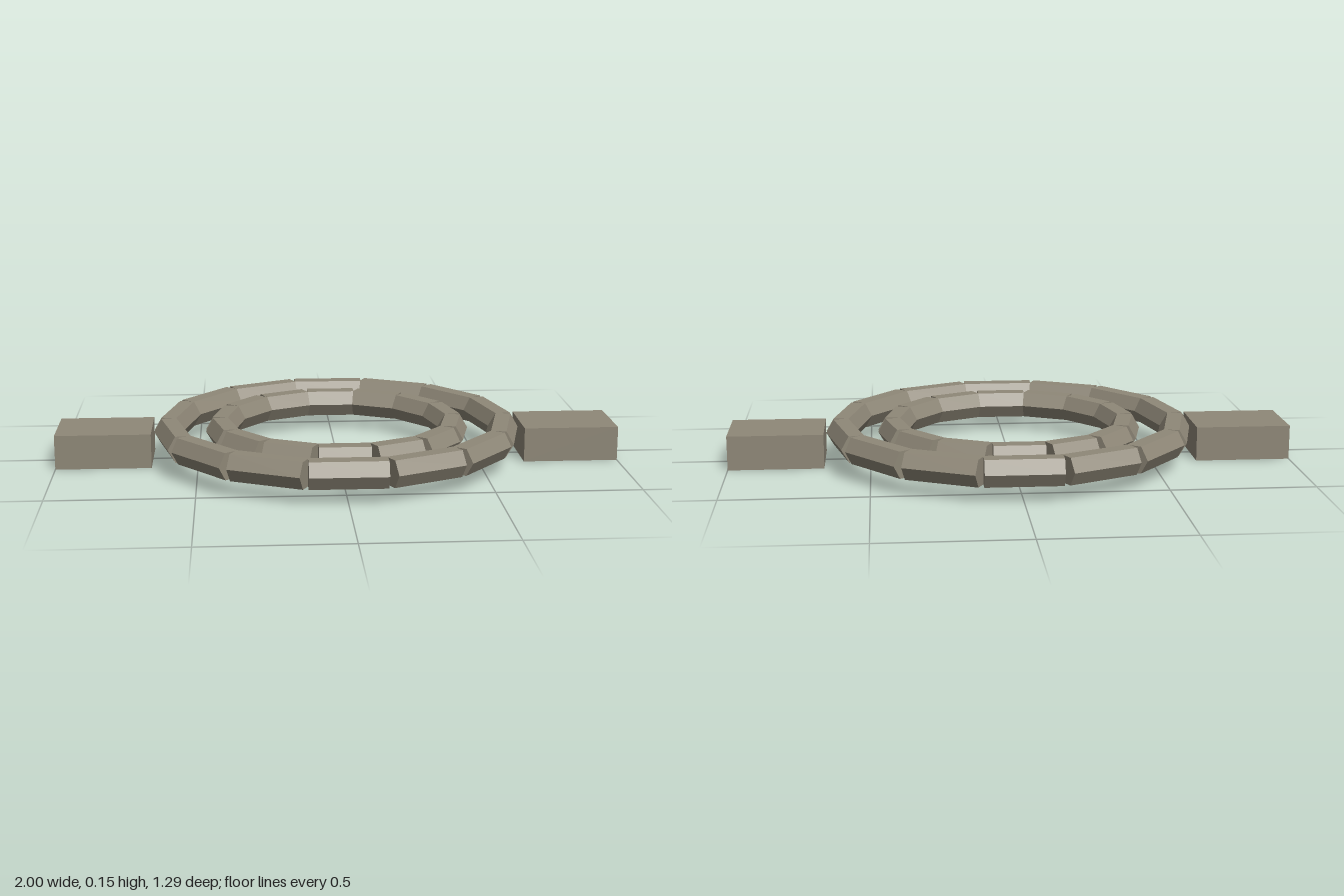
import * as THREE from 'three';

const SEGMENTS = 14;
const TUBE_RADIUS = 0.0537;
const RING_HEIGHT = 0.102;

// Closed ring of straight hexagonal bars laid tangentially around the y axis
function makeRing(name, radius, barLength, material) {
  const ring = new THREE.Group();
  ring.name = name;
  const bar = new THREE.CylinderGeometry(TUBE_RADIUS, TUBE_RADIUS, barLength, 6);
  bar.rotateZ(Math.PI / 2); // axis along x, flat faces up and down
  bar.translate(0, 0, radius);
  for (let i = 0; i < SEGMENTS; i++) {
    const mesh = new THREE.Mesh(bar, material);
    mesh.name = name + 'Bar';
    mesh.rotation.y = (i / SEGMENTS) * Math.PI * 2;
    ring.add(mesh);
  }
  ring.position.y = RING_HEIGHT;
  return ring;
}

export function createModel() {
  const model = new THREE.Group();
  model.name = 'ringedPlatform';

  const stone = new THREE.MeshStandardMaterial({ color: 0x8f8878, flatShading: true });
  stone.name = 'warm grey stone';

  // Two concentric rings
  model.add(makeRing('outerRing', 0.59, 0.262, stone));
  model.add(makeRing('innerRing', 0.41, 0.177, stone));

  // Block on each side
  const block = new THREE.BoxGeometry(0.337, 0.122, 0.253);
  for (const [name, side] of [['leftBlock', 1], ['rightBlock', -1]]) {
    const mesh = new THREE.Mesh(block, stone);
    mesh.name = name;
    mesh.position.set(side * 0.8315, 0.061, 0);
    model.add(mesh);
  }
  return model;
}
